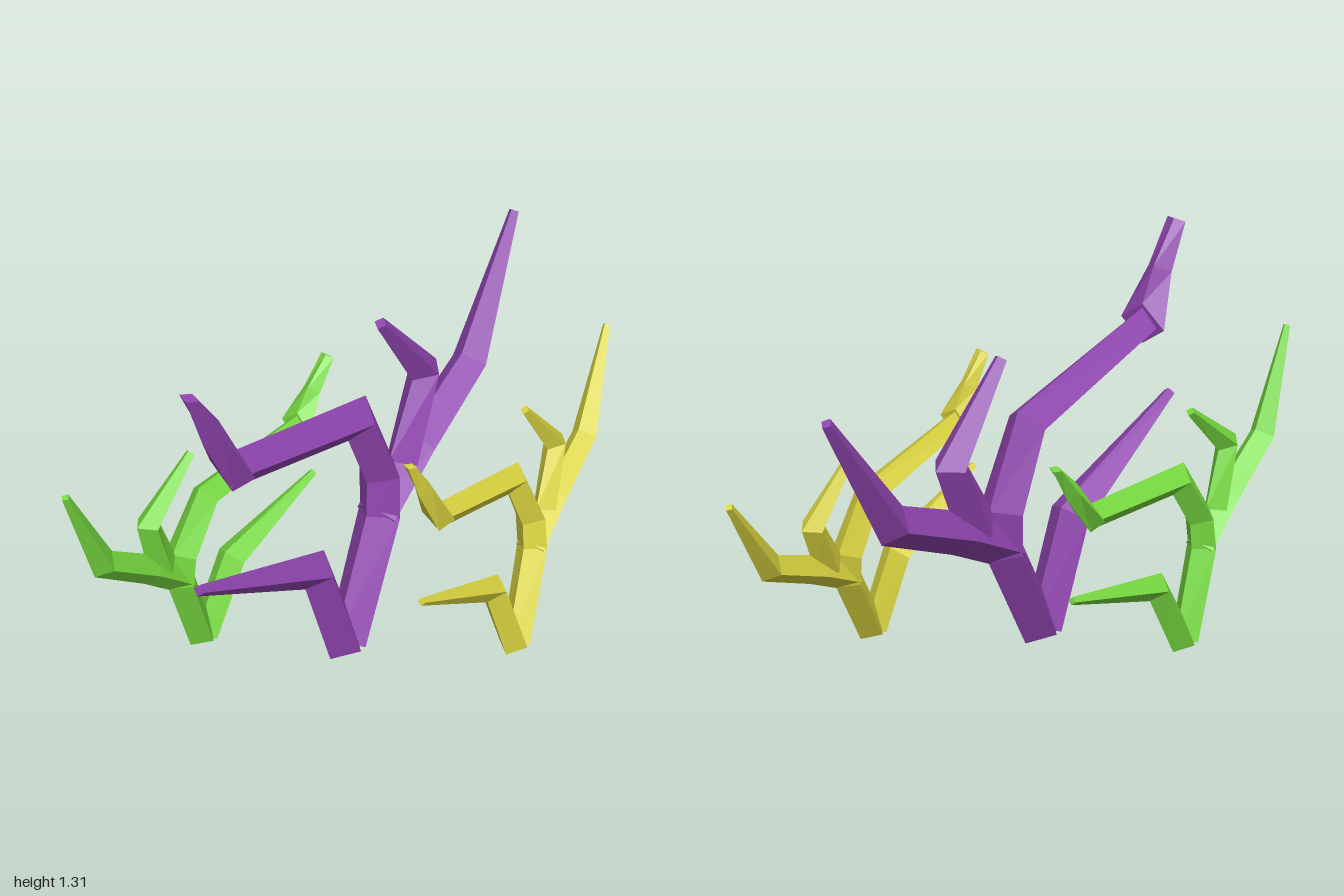
import * as THREE from 'three';

// Branches in the plane of one coral: [z, y, in-plane radius, sideways radius]
const BRANCHES = {
  lowerArm: { pts: [[0.14, 0.045, 0.07, 0.075], [0.25, 0.415, 0.068, 0.075], [0.765, 0.675, 0.018, 0.02]] },
  trunk: {
    pts: [[0.115, 0.045, 0.075, 0.075], [-0.09, 0.43, 0.075, 0.08], [-0.1, 0.58, 0.07, 0.08],
      [0.0, 0.835, 0.075, 0.07], [0.58, 0.985, 0.06, 0.055]],
  },
  upperTine: {
    start: [1, 0.15],
    pts: [[0.575, 0.985, 0.073, 0.085], [0.65, 1.155, 0.042, 0.045], [0.72, 1.305, 0.016, 0.035]],
  },
  backBranch: {
    pts: [[-0.07, 0.43, 0.07, 0.075], [-0.3, 0.57, 0.07, 0.072], [-0.605, 0.722, 0.065, 0.065],
      [-0.875, 1.15, 0.018, 0.018]],
  },
  middleTine: {
    pts: [[-0.22, 0.55, 0.08, 0.06], [-0.355, 0.82, 0.067, 0.058], [-0.14, 1.1, 0.02, 0.022]],
  },
};
const ROOT = [0.12, 0];

// Four-sided tapering branch swept along a bent path
function branchGeometry(pts, start, coral) {
  const { scale, flip, roll, leanZ, leanY } = coral;
  const c = Math.cos(roll), s = Math.sin(roll);
  const place = (z, y) => {
    const w = flip * scale * (z * c + y * s);
    const h = scale * (y * c - z * s);
    return new THREE.Vector3(leanZ * w + leanY * h, h, w);
  };
  const centres = pts.map(p => place(p[0] - ROOT[0], p[1] - ROOT[1]));
  const side = new THREE.Vector3(1, -leanY, -leanZ).normalize();
  const dir = i => centres[i + 1].clone().sub(centres[i]).normalize();
  const last = pts.length - 1;

  const rings = pts.map((p, i) => {
    let t;
    if (i === 0) t = start ? place(...start).normalize() : dir(0);
    else if (i === last) t = dir(last - 1);
    else t = dir(i - 1).add(dir(i)).normalize();
    const across = t.clone().cross(side).normalize();
    return [[0, 1], [1, 0], [0, -1], [-1, 0]].map(([a, b]) => centres[i].clone()
      .addScaledVector(across, a * p[2] * scale)
      .addScaledVector(side, b * p[3] * scale));
  });

  const out = [];
  const quad = (a, b, d, e) => [a, b, d, a, d, e].forEach(v => out.push(v.x, v.y, v.z));
  for (let k = 0; k < last; k++) {
    for (let i = 0; i < 4; i++) {
      const j = (i + 1) % 4;
      quad(rings[k][i], rings[k][j], rings[k + 1][j], rings[k + 1][i]);
    }
  }
  quad(...rings[0].slice().reverse());
  quad(...rings[last]);
  const geo = new THREE.BufferGeometry();
  geo.setAttribute('position', new THREE.Float32BufferAttribute(out, 3));
  geo.computeVertexNormals();
  return geo;
}

function createCoral(coral) {
  const group = new THREE.Group();
  group.name = coral.name;
  group.position.set(...coral.position);
  const material = new THREE.MeshStandardMaterial({ color: coral.color, flatShading: true });
  for (const [name, { pts, start }] of Object.entries(BRANCHES)) {
    const mesh = new THREE.Mesh(branchGeometry(pts, start, coral), material);
    mesh.name = name;
    group.add(mesh);
  }
  return group;
}

export function createModel() {
  const model = new THREE.Group();
  model.name = 'corals';
  // One shape at three sizes, each turned and leaning its own way
  model.add(
    createCoral({ name: 'purpleCoral', color: 0x8e44ad, position: [0.01, 0, 0.12],
      scale: 1, flip: 1, roll: 0, leanZ: 0.187, leanY: -0.064 }),
    createCoral({ name: 'yellowCoral', color: 0xd8d23f, position: [0.385, 0, -0.29],
      scale: 0.705, flip: 1, roll: 0, leanZ: 0.22, leanY: -0.185 }),
    createCoral({ name: 'greenCoral', color: 0x76d83f, position: [-0.35, 0.005, 0.44],
      scale: 0.718, flip: -1, roll: 0.194, leanZ: 0.131, leanY: 0.058 }),
  );
  return model;
}
